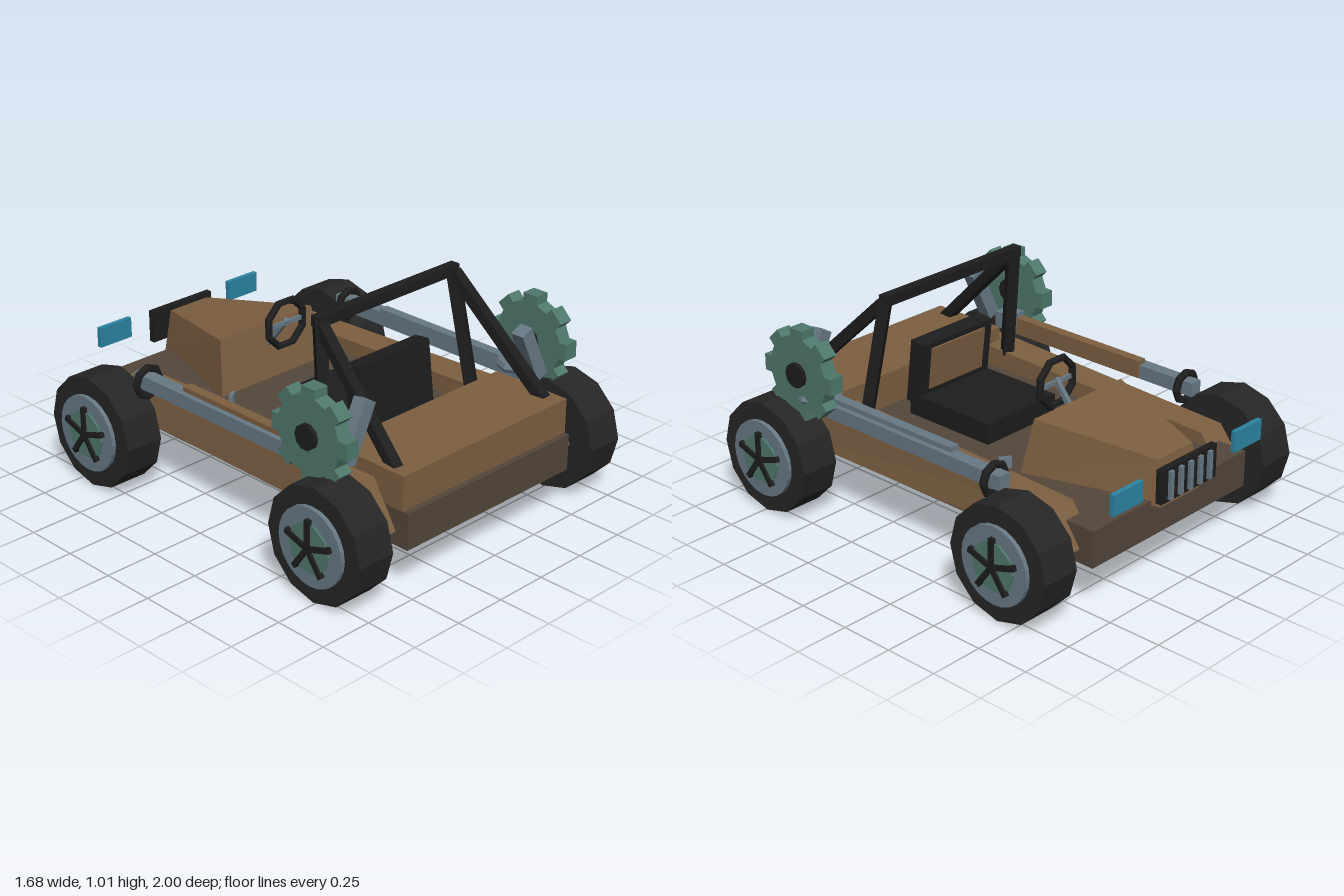
import * as THREE from 'three';

const mat = (name, color) => {
  const m = new THREE.MeshStandardMaterial({ color, flatShading: true });
  m.name = name;
  return m;
};

export function createModel() {
  const tan = mat('tan body', 0x7d5f41);
  const umber = mat('dark brown floor', 0x54463a);
  const rubber = mat('rubber', 0x262626);
  const black = mat('black metal', 0x1d1d1d);
  const steel = mat('steel', 0x677985);
  const teal = mat('teal gear', 0x4f786d);
  const blue = mat('blue lamp', 0x2b84a2);

  const root = new THREE.Group();
  root.name = 'buggy';

  const add = (name, geo, material, pos = [0, 0, 0], rot = [0, 0, 0], parent = root) => {
    const m = new THREE.Mesh(geo, material);
    m.name = name;
    m.position.set(...pos);
    m.rotation.set(...rot);
    parent.add(m);
    return m;
  };

  // box given by its minimum and maximum corners
  const block = (name, a, b, material) => add(name,
    new THREE.BoxGeometry(...a.map((v, i) => Math.abs(b[i] - v))), material,
    a.map((v, i) => (v + b[i]) / 2));

  // square beam between two points
  const beam = (name, a, b, w, material, d = w) => {
    const p = new THREE.Vector3(...a), q = new THREE.Vector3(...b);
    const m = add(name, new THREE.BoxGeometry(w, d, p.distanceTo(q)), material);
    m.position.copy(p).add(q).multiplyScalar(0.5);
    m.lookAt(q);
    return m;
  };

  // six-sided block whose corners are placed by a rule
  const hexa = (name, rule, material) => {
    const g = new THREE.BoxGeometry(2, 2, 2);
    const p = g.attributes.position;
    for (let i = 0; i < p.count; i++) p.setXYZ(i, ...rule(p.getX(i), p.getY(i), p.getZ(i)));
    g.computeVertexNormals();
    return add(name, g, material);
  };

  // cylinder with its axis along x
  const disc = (name, r, x0, x1, sides, material, parent) => add(name,
    new THREE.CylinderGeometry(r, r, Math.abs(x1 - x0), sides).rotateZ(Math.PI / 2),
    material, [(x0 + x1) / 2, 0, 0], [0, 0, 0], parent);

  // body
  block('floor', [-0.497, 0.207, -0.9], [0.497, 0.375, 0.965], umber);
  block('rearDeck', [-0.5, 0.375, 0.55], [0.5, 0.533, 0.94], tan);
  hexa('nose', (x, y, z) => (z > 0
    ? (y > 0 ? [x * 0.277, 0.626, -0.38] : [x * 0.31, 0.376, -0.335])
    : (y > 0 ? [x * 0.11, 0.556, -0.91] : [x * 0.125, 0.353, -0.94])), tan);

  // seat
  block('seatCushion', [-0.215, 0.375, -0.055], [0.215, 0.473, 0.42], black);
  add('seatBack', new THREE.BoxGeometry(0.43, 0.3, 0.08), black, [0, 0.58, 0.385], [-0.12, 0, 0]);
  add('seatPanel', new THREE.BoxGeometry(0.33, 0.2, 0.009), tan, [0, 0.6, 0.338], [-0.12, 0, 0]);

  // steering
  add('steeringWheel', new THREE.TorusGeometry(0.11, 0.017, 6, 8), black,
    [0, 0.665, -0.255], [0, 0, Math.PI / 8]);
  beam('steeringColumn', [0, 0.68, -0.25], [0, 0.53, -0.37], 0.022, steel);
  block('steeringSpoke', [-0.1, 0.655, -0.262], [0.1, 0.675, -0.248], steel);

  // grille
  block('grille', [-0.178, 0.4, -0.985], [0.178, 0.553, -0.955], black);
  for (let i = -2; i <= 2; i++) {
    block('grilleBar', [i * 0.063 - 0.011, 0.413, -1], [i * 0.063 + 0.011, 0.54, -0.985], steel);
  }

  // roll cage cross bar
  block('rollBarTop', [-0.42, 0.965, 0.34], [0.42, 1.012, 0.386], black);

  // gear outline with eight square teeth
  const gearShape = new THREE.Shape();
  const teeth = 8, rootR = 0.17, half = 0.038;
  for (let i = 0; i < teeth; i++) {
    const a = (i / teeth) * Math.PI * 2, c = Math.cos(a), s = Math.sin(a);
    [[rootR, -half], [0.21, -half], [0.21, half], [rootR, half]].forEach(([u, v], k) => {
      const x = u * c - v * s, y = u * s + v * c;
      if (i + k === 0) gearShape.moveTo(x, y); else gearShape.lineTo(x, y);
    });
  }
  gearShape.closePath();

  const wheel = (s, z, label) => {
    const g = new THREE.Group();
    g.name = label;
    g.position.set(0, 0.26, z);
    root.add(g);
    disc('tyre', 0.26, s * 0.615, s * 0.8, 12, rubber, g);
    disc('rim', 0.177, s * 0.79, s * 0.82, 24, steel, g);
    disc('hub', 0.112, s * 0.81, s * 0.829, 10, teal, g);
    for (let i = 0; i < 5; i++) {
      const a = (i / 5) * Math.PI * 2;
      add('spoke', new THREE.BoxGeometry(0.024, 0.13, 0.024), black,
        [s * 0.828, 0.065 * Math.cos(a), 0.065 * Math.sin(a)], [a, 0, 0], g);
    }
  };

  for (const s of [1, -1]) {
    const side = s > 0 ? 'left' : 'right';

    // side pod with sloping ends
    hexa(side + 'SidePod', (x, y, z) => {
      const outer = x * s > 0;
      const px = outer ? (z > 0 ? 0.585 : 0.562) + (y > 0 ? -0.008 : 0.006) : 0.418;
      const py = y > 0 ? (z > 0 ? 0.474 : 0.428) : 0.27;
      const pz = z > 0 ? (y > 0 ? 0.78 : 0.9) : (y > 0 ? -0.72 : -0.83);
      return [s * px, py, pz];
    }, tan);

    // wheels and their arms
    wheel(s, 0.74, side + 'RearWheel');
    wheel(s, -0.66, side + 'FrontWheel');
    beam(side + 'FrontArm', [s * 0.64, 0.26, -0.66], [s * 0.46, 0.3, -0.45], 0.04, steel);
    beam(side + 'RearArm', [s * 0.64, 0.26, 0.74], [s * 0.46, 0.3, 0.68], 0.04, steel);

    // drive rail with cover and front collar
    block(side + 'Rail', [s * 0.585, 0.48, -0.53], [s * 0.647, 0.545, 0.6], steel);
    block(side + 'RailCover', [s * 0.575, 0.485, -0.232], [s * 0.622, 0.567, 0.55],
      s > 0 ? steel : tan);
    add(side + 'RailCollar', new THREE.TorusGeometry(0.066, 0.018, 6, 8), black,
      [s * 0.615, 0.507, -0.473]);

    // large gear
    const gear = new THREE.ExtrudeGeometry(gearShape, { depth: 0.07, bevelEnabled: false });
    gear.translate(0, 0, -0.035).rotateY(Math.PI / 2);
    add(side + 'Gear', gear, teal, [s * 0.665, 0.663, 0.61]);
    const hub = disc(side + 'GearHub', 0.057, s * 0.62, s * 0.72, 10, black);
    hub.position.y = 0.663;
    hub.position.z = 0.61;

    // shock absorber
    beam(side + 'Shock', [s * 0.59, 0.535, 0.7], [s * 0.474, 0.78, 0.7], 0.065, steel);

    // roll cage legs and braces
    beam(side + 'RollBarLeg', [s * 0.397, 1.0, 0.365], [s * 0.446, 0.45, 0.45], 0.05, black);
    beam(side + 'RollBarBrace', [s * 0.4, 0.975, 0.375], [s * 0.452, 0.515, 0.855], 0.048, black);

    // headlamp and floor lever
    block(side + 'Headlamp', [s * 0.3, 0.465, -0.988], [s * 0.48, 0.56, -0.966], blue);
    add(side + 'Lever', new THREE.BoxGeometry(0.055, 0.05, 0.018), steel,
      [s * 0.323, 0.4, -0.257], [0, -s * 0.6, 0]);
  }

  // mounts behind the gears: a ring on one side, a block on the other
  add('leftGearRing', new THREE.TorusGeometry(0.082, 0.022, 6, 8).rotateX(Math.PI / 2), steel,
    [0.61, 0.55, 0.58]);
  block('rightGearMount', [-0.63, 0.51, 0.51], [-0.535, 0.587, 0.61], steel);

  return root;
}
